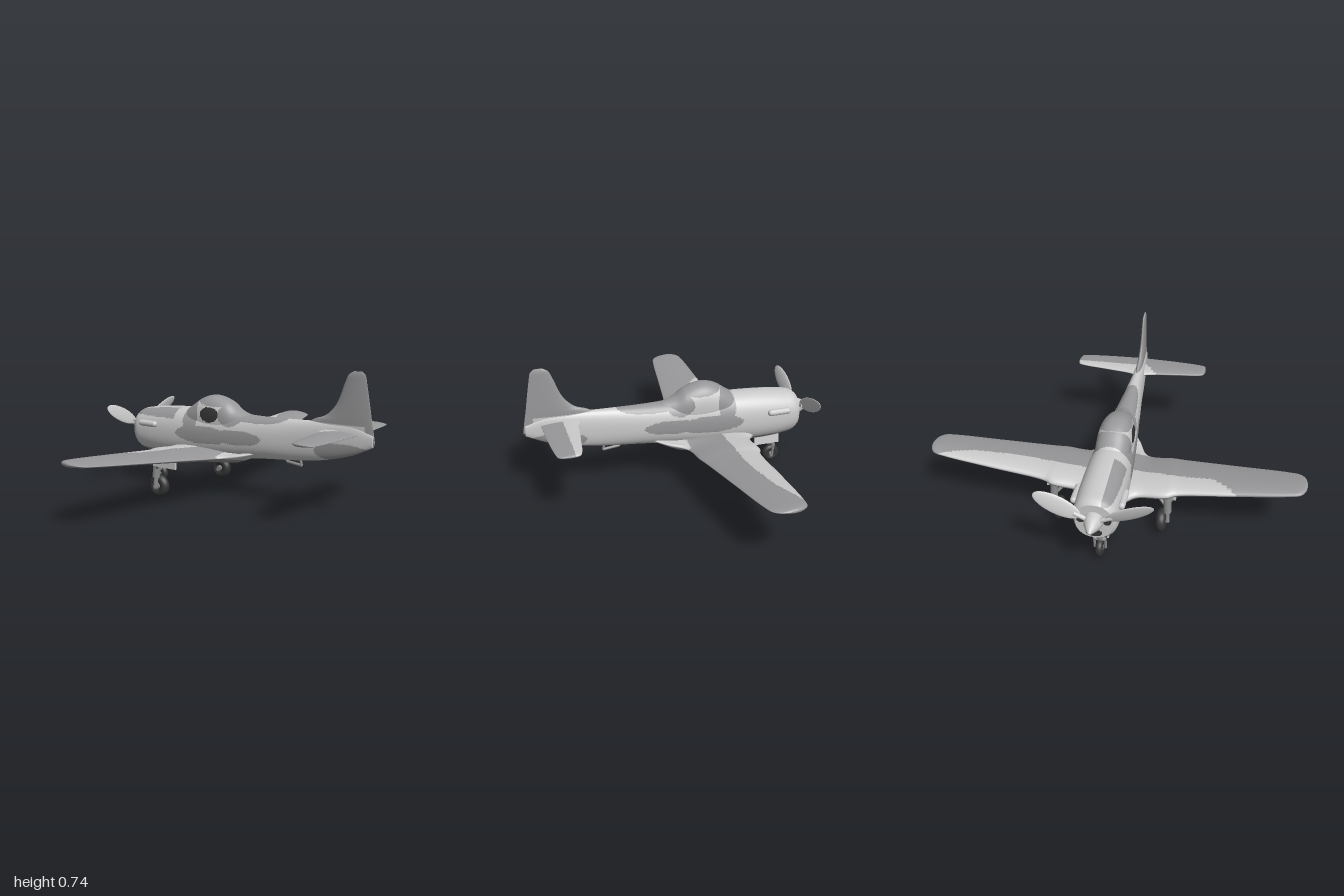
import * as THREE from 'three';

const mat = (name, color) => Object.assign(new THREE.MeshStandardMaterial({ color }), { name });
const light = mat('light grey paint', 0xcacaca);
const dark = mat('dark grey paint', 0x98989a);
const black = mat('tyre black', 0x363636);
const metal = mat('gear grey', 0x8c8c8c);
const PAINTS = [light, dark, black];
const V = (x, y, z) => new THREE.Vector3(x, y, z);

// Smooth closed skin through cross-sections; paint(p) picks a colour index for each face
function loft(name, rings, sub, paint) {
  const m = rings[0].length, n = (rings.length - 1) * sub + 1;
  const lines = rings[0].map((_, j) => new THREE.CatmullRomCurve3(rings.map(r => r[j])).getPoints(n - 1));
  const pts = [];
  for (let i = 0; i < n; i++) for (let j = 0; j < m; j++) pts.push(lines[j][i]);
  const faces = [];
  for (let i = 0; i < n - 1; i++) for (let j = 0; j < m; j++) {
    const k = (j + 1) % m, a = i * m + j, b = i * m + k, c = a + m, d = b + m;
    faces.push([a, b, d], [a, d, c]);
  }
  [0, n - 1].forEach(i => {
    const mid = V(0, 0, 0);
    for (let j = 0; j < m; j++) mid.addScaledVector(pts[i * m + j], 1 / m);
    pts.push(mid);
    for (let j = 0; j < m; j++) {
      const a = i * m + j, b = i * m + (j + 1) % m;
      faces.push(i ? [a, b, pts.length - 1] : [b, a, pts.length - 1]);
    }
  });
  // turn the skin outward whichever way the sections run
  const volume = faces.reduce((s, [a, b, c]) => s + pts[a].dot(pts[b].clone().cross(pts[c])), 0);
  const groups = PAINTS.map(() => []);
  faces.forEach(([a, b, c]) => {
    const mid = pts[a].clone().add(pts[b]).add(pts[c]).divideScalar(3);
    groups[paint(mid)].push(a, ...(volume < 0 ? [c, b] : [b, c]));
  });
  const g = new THREE.BufferGeometry().setFromPoints(pts);
  g.setIndex(groups.flat());
  let start = 0;
  groups.forEach((list, i) => { if (list.length) g.addGroup(start, list.length, i); start += list.length; });
  g.computeVertexNormals();
  const mesh = new THREE.Mesh(g, PAINTS);
  mesh.name = name;
  return mesh;
}

// Rounded body section at z
function bodyRing(z, top, bottom, w, m = 92) {
  const pw = v => Math.sign(v) * Math.abs(v) ** 0.88;
  return Array.from({ length: m }, (_, j) => {
    const t = j / m * Math.PI * 2;
    return V(w * pw(Math.cos(t)), (top + bottom) / 2 + (top - bottom) / 2 * pw(Math.sin(t)), z);
  });
}

// Airfoil section from leading edge a to trailing edge b; place(z, offset) sets it in space
function foilRing(a, b, thick, place, m = 84) {
  return Array.from({ length: m }, (_, j) => {
    const t = j / m * Math.PI * 2, c = Math.cos(t);
    return place((a + b) / 2 - (b - a) / 2 * c, thick / 2 * Math.sin(t) * (1 + 0.4 * c));
  });
}

const inside = (p, [z, y, rz, ry]) => ((p.z - z) / rz) ** 2 + ((p.y - y) / ry) ** 2 < 1;

// Camouflage patches on the body sides: z, y, radius z, radius y
const PATCHES = [
  [0.13, 0.475, 0.19, 0.045], [-0.02, 0.46, 0.075, 0.06], [-0.12, 0.55, 0.15, 0.05],
  [0.03, 0.345, 0.15, 0.04], [-0.19, 0.34, 0.18, 0.05], [-0.28, 0.44, 0.05, 0.1],
  [0.65, 0.325, 0.16, 0.05], [0.68, 0.52, 0.17, 0.055],
];
function bodyPaint(p) {
  if (p.x < -0.03 && inside(p, [-0.15, 0.455, 0.06, 0.042])) return 2;
  if (p.z < 0 && p.y < 0.22) return 1;
  if (p.z < -0.4 && p.x < -0.035 && p.y > 0.41) return 1;
  return PATCHES.some(e => inside(p, e)) ? 1 : 0;
}

// Piecewise boundary: z at x from a list of [x, z]
function boundary(list, x) {
  for (let i = 1; i < list.length; i++) {
    const [x0, z0] = list[i - 1], [x1, z1] = list[i];
    if (x <= x1) return z0 + (z1 - z0) * (x - x0) / (x1 - x0);
  }
  return list[list.length - 1][1];
}

const wingY = x => 0.22 + 0.105 * x;
const LEFT_EDGE = [[0, -0.25], [0.5, -0.24], [0.75, -0.27], [0.94, -0.34], [1, -0.36]];
const RIGHT_EDGE = [[0, -0.22], [0.11, -0.22], [0.34, -0.25], [0.53, -0.26], [0.66, -0.37], [1, -0.4]];
function wingPaint(p) {
  const x = Math.abs(p.x);
  if (p.y < wingY(x) - 0.002) return 1;
  if (x < 0.16 && p.z > -0.05) return 0;
  return p.z > boundary(p.x > 0 ? LEFT_EDGE : RIGHT_EDGE, x) ? 1 : 0;
}

function createModel() {
  const plane = new THREE.Group();
  plane.name = 'propellerPlane';
  const add = (name, geo, material, parent = plane) => {
    const mesh = new THREE.Mesh(geo, material);
    mesh.name = name;
    parent.add(mesh);
    return mesh;
  };
  const rod = (name, a, b, r, material, parent) => {
    const d = b.clone().sub(a);
    const mesh = add(name, new THREE.CylinderGeometry(r, r, d.length(), 14), material, parent);
    mesh.position.copy(a).add(b).multiplyScalar(0.5);
    mesh.quaternion.setFromUnitVectors(V(0, 1, 0), d.normalize());
    return mesh;
  };

  // Fuselage: z, top, bottom, half width
  plane.add(loft('fuselage', [
    [0.805, 0.43, 0.372, 0.008], [0.7, 0.47, 0.322, 0.02], [0.55, 0.475, 0.28, 0.033], [0.38, 0.47, 0.255, 0.046],
    [0.15, 0.465, 0.235, 0.07], [-0.06, 0.47, 0.21, 0.092], [-0.32, 0.474, 0.187, 0.112], [-0.5, 0.465, 0.18, 0.117],
    [-0.63, 0.45, 0.19, 0.115], [-0.69, 0.438, 0.204, 0.108], [-0.718, 0.42, 0.225, 0.092],
  ].map(r => bodyRing(...r)), 18, bodyPaint));
  // Canopy hump, blended into the shoulders: z, top, half width
  plane.add(loft('canopy', [
    [0.12, 0.455, 0.035], [0, 0.49, 0.068], [-0.06, 0.53, 0.082], [-0.155, 0.556, 0.092],
    [-0.23, 0.542, 0.092], [-0.31, 0.492, 0.086], [-0.37, 0.455, 0.065],
  ].map(([z, top, w]) => bodyRing(z, top, 0.31, w)), 18, bodyPaint));

  // Wings: span, leading edge, trailing edge, thickness; then tailplane the same way
  for (const s of [1, -1]) {
    plane.add(loft(s > 0 ? 'leftWing' : 'rightWing', [
      [0.03, -0.47, 0.16, 0.08], [0.09, -0.44, 0.07, 0.08], [0.15, -0.395, -0.03, 0.076], [0.3, -0.392, -0.05, 0.07],
      [0.35, -0.371, -0.06, 0.062], [0.65, -0.357, -0.105, 0.048], [0.9, -0.344, -0.142, 0.036],
      [0.965, -0.332, -0.16, 0.03], [0.99, -0.3, -0.19, 0.022], [1, -0.26, -0.23, 0.008],
    ].map(([x, a, b, t]) => foilRing(a, b, t, (z, o) => V(s * x, wingY(x) + o + Math.max(0, z) * 0.3, z))), 12, wingPaint));
    plane.add(loft(s > 0 ? 'leftTailplane' : 'rightTailplane', [
      [0, 0.5, 0.725, 0.03], [0.05, 0.525, 0.722, 0.028], [0.2, 0.55, 0.715, 0.024],
      [0.35, 0.572, 0.7, 0.02], [0.38, 0.585, 0.69, 0.016], [0.39, 0.62, 0.655, 0.006],
    ].map(([x, a, b, t]) => foilRing(a, b, t, (z, o) => V(s * x, 0.425 + o, z))), 8,
    p => (p.y < 0.424 || p.z > (s > 0 ? 0.61 : 0.66 - Math.abs(p.x) * 1.2) ? 1 : 0)));

    // Exhaust fairing
    const pipe = add('exhaust', new THREE.CapsuleGeometry(0.018, 0.1, 6, 14), light);
    pipe.rotation.x = Math.PI / 2;
    pipe.position.set(s * 0.118, 0.368, -0.58);

    // Main landing gear
    const gear = new THREE.Group();
    gear.name = s > 0 ? 'leftGear' : 'rightGear';
    plane.add(gear);
    wheel(gear, V(s * 0.277, 0.065, -0.35), 0.065, 0.026);
    rod('leg', V(s * 0.308, 0.06, -0.35), V(s * 0.305, 0.13, -0.345), 0.013, metal, gear);
    rod('legSleeve', V(s * 0.306, 0.12, -0.346), V(s * 0.3, 0.25, -0.335), 0.021, metal, gear);
    rod('axle', V(s * 0.25, 0.065, -0.35), V(s * 0.315, 0.065, -0.35), 0.012, metal, gear);
    rod('brace', V(s * 0.3, 0.15, -0.34), V(s * 0.22, 0.23, -0.3), 0.009, metal, gear);
    rod('sideStrut', V(s * 0.305, 0.16, -0.34), V(s * 0.345, 0.22, -0.3), 0.008, metal, gear);
    const door = add('gearDoor', new THREE.BoxGeometry(0.012, 0.055, 0.16), light, gear);
    door.position.set(s * 0.34, 0.218, -0.25);

    // Nose gear doors
    const flap = add('noseGearDoor', new THREE.BoxGeometry(0.008, 0.06, 0.15), light);
    flap.position.set(s * 0.042, 0.168, -0.545);
    flap.rotation.z = s * 0.15;

    // Propeller blades
    const arm = new THREE.Group();
    arm.name = 'propellerBlade';
    arm.position.set(0, 0.335, -0.735);
    arm.rotation.z = s > 0 ? 0.42 : Math.PI - 0.42;
    const blade = add('blade', new THREE.SphereGeometry(1, 28, 18), light, arm);
    blade.scale.set(0.125, 0.045, 0.009);
    blade.position.x = 0.19;
    blade.rotation.x = 0.33;
    rod('bladeShank', V(0, 0, 0), V(0.1, 0, 0), 0.012, light, arm);
    plane.add(arm);

    // Cooling inlets beside the spinner
    const inlet = add('inlet', new THREE.CylinderGeometry(0.022, 0.022, 0.006, 20), black);
    inlet.rotation.x = Math.PI / 2;
    inlet.position.set(s * 0.064, 0.335, -0.719);
  }

  // Fin and rudder: height, leading edge, trailing edge, thickness
  plane.add(loft('fin', [
    [0.385, 0.5, 0.816, 0.02], [0.46, 0.44, 0.803, 0.03], [0.485, 0.475, 0.798, 0.03], [0.51, 0.54, 0.793, 0.028],
    [0.57, 0.598, 0.783, 0.024], [0.68, 0.643, 0.763, 0.018], [0.72, 0.662, 0.754, 0.014], [0.738, 0.69, 0.735, 0.006],
  ].map(([y, a, b, t]) => foilRing(a, b, t, (z, o) => V(o, y, z))), 8,
  p => (p.y > 0.47 || p.z > 0.76 ? 1 : 0)));

  // Spinner and chin intake
  const spinner = add('spinner', new THREE.LatheGeometry(
    [[0, -0.02], [0.05, -0.02], [0.05, 0], [0.041, 0.035], [0.025, 0.068], [0.008, 0.096], [0, 0.1]]
      .map(([r, y]) => new THREE.Vector2(r, y)), 32), light);
  spinner.rotation.x = -Math.PI / 2;
  spinner.position.set(0, 0.333, -0.72);
  const chin = add('chinIntake', new THREE.CylinderGeometry(1, 1, 1, 28), black);
  chin.rotation.x = Math.PI / 2;
  chin.scale.set(0.04, 0.008, 0.02);
  chin.position.set(0, 0.257, -0.719);

  // Nose gear
  const nose = new THREE.Group();
  nose.name = 'noseGear';
  plane.add(nose);
  wheel(nose, V(0, 0.05, -0.595), 0.05, 0.019);
  rod('noseLeg', V(0, 0.115, -0.6), V(0, 0.21, -0.615), 0.016, metal, nose);
  rod('forkTop', V(-0.03, 0.11, -0.6), V(0.03, 0.11, -0.6), 0.011, metal, nose);
  for (const s of [1, -1]) rod('fork', V(s * 0.028, 0.05, -0.595), V(s * 0.028, 0.115, -0.6), 0.007, metal, nose);

  // Tail skid
  rod('skid', V(0, 0.23, 0.4), V(0, 0.24, 0.31), 0.008, metal);
  rod('skidFront', V(0, 0.24, 0.31), V(0, 0.27, 0.3), 0.007, metal);
  rod('skidRear', V(0, 0.23, 0.4), V(0, 0.27, 0.39), 0.007, metal);

  // Tyre with hub, axle along x
  function wheel(parent, at, radius, tube) {
    const tyre = add('tyre', new THREE.TorusGeometry(radius - tube, tube, 16, 36), black, parent);
    const hub = add('hub', new THREE.CylinderGeometry(radius - tube * 1.5, radius - tube * 1.5, tube * 1.1, 24), black, parent);
    const cap = add('hubCap', new THREE.CylinderGeometry(radius * 0.25, radius * 0.25, tube * 1.7, 18), metal, parent);
    tyre.rotation.y = Math.PI / 2;
    hub.rotation.z = cap.rotation.z = Math.PI / 2;
    [tyre, hub, cap].forEach(o => o.position.copy(at));
  }
  return plane;
}

export { createModel };
